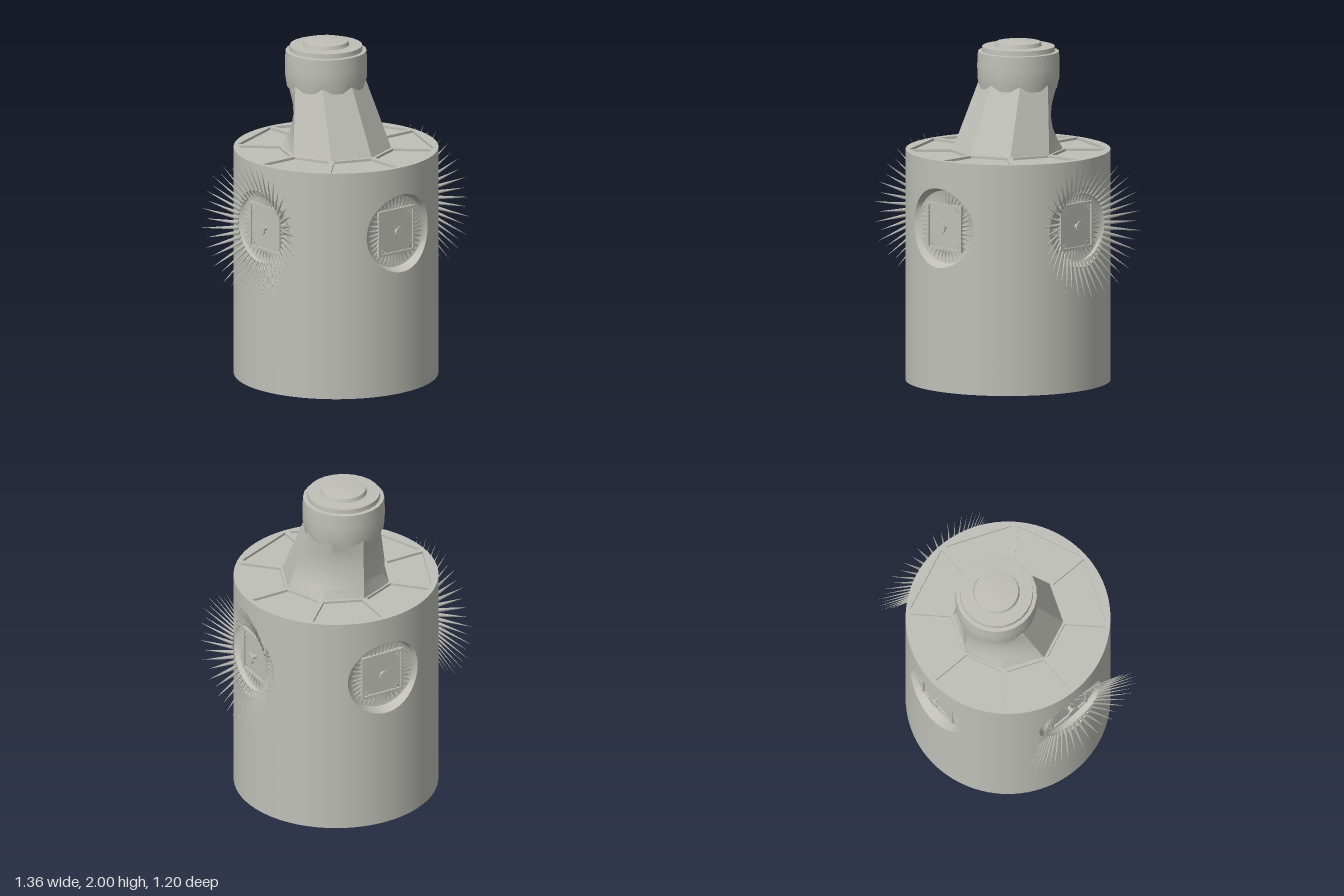
import * as THREE from 'three';
import { toCreasedNormals } from 'three/addons/utils/BufferGeometryUtils.js';

const R = 0.6, TOP = 1.355, EYE = 0.97, HOLE = 0.235, HEAD_Z = -0.09;

// Surface from a rule fn(t, v), t running round and v running outward or upward
function grid(nt, nv, fn) {
  const pos = [], idx = [];
  for (let i = 0; i <= nt; i++)
    for (let j = 0; j <= nv; j++) pos.push(...fn(i / nt, j / nv));
  for (let i = 0; i < nt; i++)
    for (let j = 0; j < nv; j++) {
      const a = i * (nv + 1) + j, b = a + 1, d = a + nv + 1, c = d + 1;
      idx.push(a, b, c, a, c, d);
    }
  const g = new THREE.BufferGeometry();
  g.setAttribute('position', new THREE.Float32BufferAttribute(pos, 3));
  g.setIndex(idx);
  g.computeVertexNormals();
  return g;
}

// Quarter of the drum wall, with a round opening facing +z
function wallQuarter() {
  const q = Math.PI / 4;
  const g = grid(96, 10, (t, v) => {
    const side = Math.min(3, Math.floor(t * 4)), f = t * 4 - side;
    const [a, y] = [
      [q, f * TOP], [q - 2 * q * f, TOP], [-q, TOP * (1 - f)], [-q + 2 * q * f, 0],
    ][side];
    const phi = Math.atan2(y - EYE, a * R);
    const ha = Math.asin(HOLE * Math.cos(phi) / R), hy = EYE + HOLE * Math.sin(phi);
    const th = ha + (a - ha) * v;
    return [R * Math.sin(th), hy + (y - hy) * v, R * Math.cos(th)];
  });
  const p = g.attributes.position, n = g.attributes.normal;
  for (let i = 0; i < p.count; i++) n.setXYZ(i, p.getX(i) / R, 0, p.getZ(i) / R);
  return g;
}

// Shallow dish from the opening's rim down to a flat floor
function dish() {
  return toCreasedNormals(grid(64, 4, (t, v) => {
    const phi = t * Math.PI * 2, r = [0, 0.15, 0.18, 0.215, HOLE][Math.round(v * 4)];
    const x = r * Math.cos(phi), rim = Math.sqrt(R * R - x * x);
    const z = [0.53, 0.53, 0.532, 0.54, rim][Math.round(v * 4)];
    return [x, r * Math.sin(phi), z];
  }), 0.6);
}

function squareFrame(half, width, depth) {
  const s = new THREE.Shape(), h = new THREE.Path(), i = half - width;
  s.moveTo(-half, -half).lineTo(half, -half).lineTo(half, half).lineTo(-half, half);
  h.moveTo(-i, -i).lineTo(-i, i).lineTo(i, i).lineTo(i, -i);
  s.holes.push(h);
  return new THREE.ExtrudeGeometry(s, { depth, bevelEnabled: false });
}

// Rim and spokes around eight sunken deck panels
function deckFrame() {
  const s = new THREE.Shape();
  s.absarc(0, 0, R, 0, Math.PI * 2, false);
  for (let k = 0; k < 8; k++) {
    const a = k * Math.PI / 4, b = a + Math.PI / 4, w = 0.016;
    const at = (ang, r, off) => new THREE.Vector2(
      r * Math.cos(ang) - off * Math.sin(ang), r * Math.sin(ang) + off * Math.cos(ang));
    s.holes.push(new THREE.Path([at(a, 0.335, w), at(b, 0.335, -w), at(b, 0.575, -w), at(a, 0.575, w)]));
  }
  const g = new THREE.ExtrudeGeometry(s, { depth: 0.015, bevelEnabled: false, curveSegments: 48 });
  return g.rotateX(-Math.PI / 2).translate(0, TOP, 0);
}

// Eight-sided neck leaning back to the head, hollowed at the rear corners
function neckShape() {
  return toCreasedNormals(grid(8, 6, (t, v) => {
    const k = Math.round(t * 8), a = -k * Math.PI / 4;
    const r = 0.33 + (0.235 - 0.33) * v;
    const pinch = k === 3 || k === 5 ? 1 - 0.22 * Math.sin(v * Math.PI) : 1;
    return [r * pinch * Math.sin(a), TOP + (1.76 - TOP) * v, r * pinch * Math.cos(a) + HEAD_Z * v];
  }), 0.5);
}

function lathe(points, segments) {
  return new THREE.LatheGeometry(points.map(([x, y]) => new THREE.Vector2(x, y)), segments);
}

export function createModel() {
  const model = new THREE.Group();
  model.name = 'drumTower';
  const stone = new THREE.MeshStandardMaterial({ color: 0xc0c0b9, side: THREE.DoubleSide });
  stone.name = 'warm grey';
  const add = (parent, name, geometry) => {
    const m = new THREE.Mesh(geometry, stone);
    m.name = name;
    parent.add(m);
    return m;
  };

  // Four walls, each with its round eye; the two side eyes carry spikes
  const wall = wallQuarter(), bowl = dish();
  const frame = squareFrame(0.138, 0.016, 0.024);
  const rib = new THREE.ConeGeometry(0.009, 0.085, 4).translate(0, 0.18, 0);
  const spike = new THREE.ConeGeometry(0.013, 1, 4).translate(0, 0.5, 0);
  for (let k = 0; k < 4; k++) {
    const quarter = new THREE.Group();
    quarter.name = ['frontSide', 'leftSide', 'backSide', 'rightSide'][k];
    quarter.rotation.y = k * Math.PI / 2;
    model.add(quarter);
    add(quarter, 'wall', wall);

    const eye = new THREE.Group();
    eye.name = 'eye';
    eye.position.y = EYE;
    quarter.add(eye);
    add(eye, 'eyeDish', bowl);
    add(eye, 'eyeFrame', frame).position.z = 0.528;
    add(eye, 'eyePanel', new THREE.BoxGeometry(0.246, 0.246, 0.012)).position.z = 0.535;
    add(eye, 'eyePin', new THREE.CylinderGeometry(0.012, 0.012, 0.045, 10).rotateX(Math.PI / 2)).position.z = 0.558;
    add(eye, 'eyeButton', new THREE.CylinderGeometry(0.037, 0.037, 0.008, 20).rotateX(Math.PI / 2)).position.z = 0.581;

    for (let i = 0; i < 40; i++) {
      const m = add(eye, 'eyeRib', rib);
      m.rotation.z = i / 40 * Math.PI * 2;
      m.position.z = 0.538;
    }
    if (k % 2 === 0) continue;
    for (let i = 0; i < 44; i++) {
      const arm = new THREE.Group();
      arm.name = 'spikeArm';
      arm.rotation.z = i / 44 * Math.PI * 2;
      eye.add(arm);
      const reach = i % 2 ? 0.2 : 0.225;
      const m = add(arm, 'spike', spike);
      m.position.set(0, 0.2, 0.58);
      m.rotation.x = Math.atan2(0.098, 0.225);
      m.scale.set(1, reach / Math.cos(m.rotation.x), 0.5);
    }
  }

  // Deck
  add(model, 'deckPanels', new THREE.CircleGeometry(R, 64).rotateX(-Math.PI / 2).translate(0, TOP, 0));
  add(model, 'deckFrame', deckFrame());

  // Slightly hollow base with a ring groove
  add(model, 'base', toCreasedNormals(lathe(
    [[0, 0.06], [0.275, 0.06], [0.275, 0.08], [0.3, 0.08], [0.3, 0.058], [R, 0]], 64), 0.5));

  // Neck and head
  add(model, 'neck', neckShape());
  const head = lathe([[0.19, 1.76], [0.232, 1.72], [0.24, 1.78], [0.242, 1.86], [0.238, 1.94],
    [0.215, 1.942], [0.213, 1.97], [0.137, 1.972], [0.13, 1.995], [0.08, 2], [0, 2]], 24);
  // Ragged lower hem
  const p = head.attributes.position;
  for (let i = 0; i < p.count; i++) {
    if (Math.abs(p.getY(i) - 1.72) > 0.001) continue;
    const a = Math.atan2(p.getX(i), p.getZ(i));
    p.setY(i, 1.735 + 0.015 * Math.cos(a * 8));
  }
  add(model, 'head', toCreasedNormals(head, 0.7)).position.z = HEAD_Z;
  return model;
}
